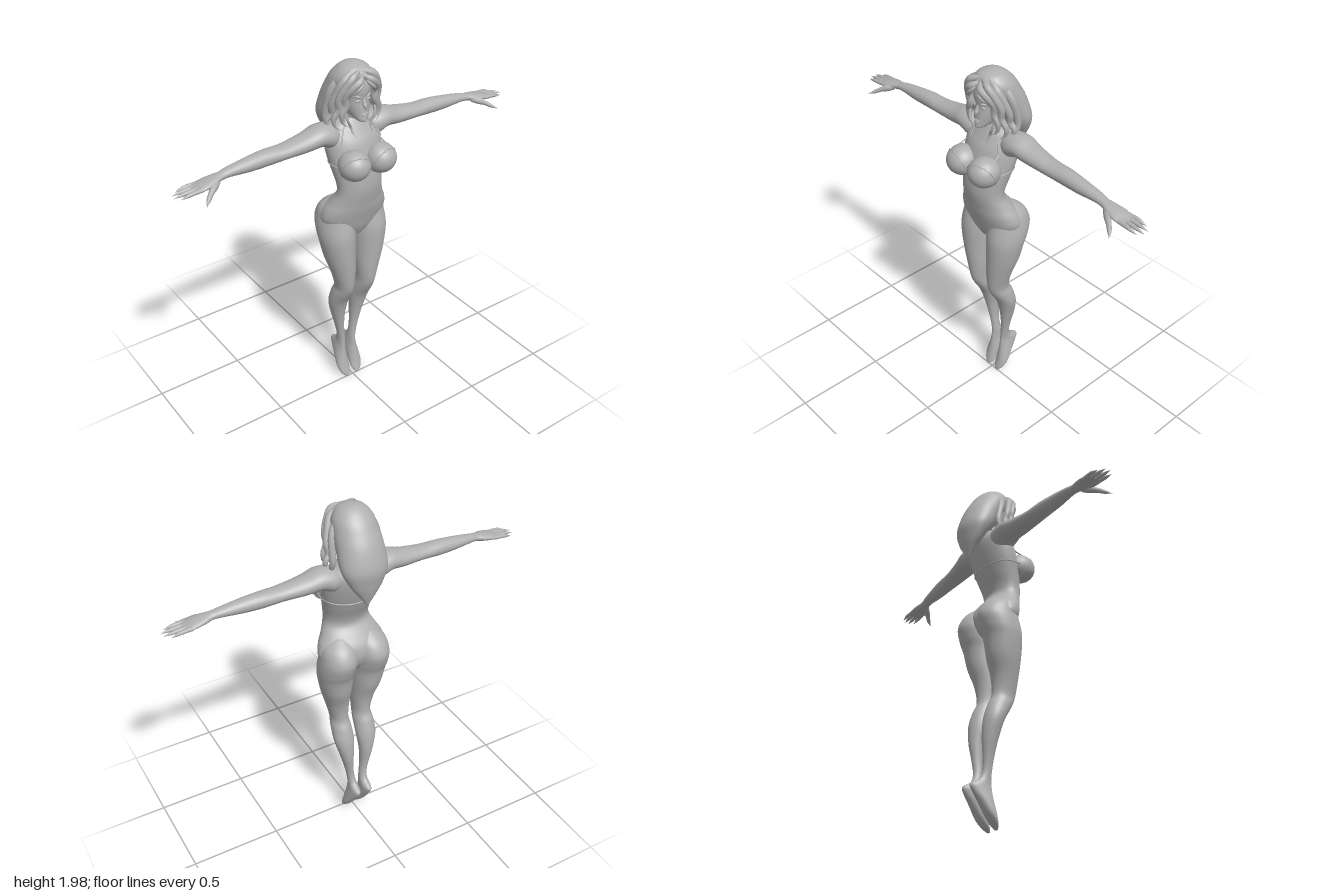
import * as THREE from 'three';

const grey = new THREE.MeshStandardMaterial({ color: 0xb0b0b0, side: THREE.DoubleSide });
grey.name = 'clay grey';

const V = (p) => new THREE.Vector3(...p);

// Smooth interpolation through rows of numbers
function sample(rows, u) {
  const n = rows.length - 1, i = Math.min(Math.floor(u * n), n - 1), f = u * n - i;
  const [p, q, r, s] = [Math.max(i - 1, 0), i, i + 1, Math.min(i + 2, n)].map((k) => rows[k]);
  return q.map((_, k) => {
    const m0 = (r[k] - p[k]) / 2, m1 = (s[k] - q[k]) / 2, d = r[k] - q[k];
    return q[k] + m0 * f + (3 * d - 2 * m0 - m1) * f * f + (m0 + m1 - 2 * d) * f * f * f;
  });
}

// Closed loft of ovals; each row is [t, aMin, aMax, bMin, bMax], t ascending
function loft(rows, place, sides = 40, detail = 6) {
  const rings = (rows.length - 1) * detail, pos = [], idx = [];
  for (let i = 0; i <= rings; i++) {
    const [t, a0, a1, b0, b1] = sample(rows, i / rings);
    for (let j = 0; j < sides; j++) {
      const w = (j / sides) * Math.PI * 2;
      pos.push(...place((a0 + a1) / 2 + ((a1 - a0) / 2) * Math.cos(w), t, (b0 + b1) / 2 + ((b1 - b0) / 2) * Math.sin(w)));
    }
  }
  for (let i = 0; i < rings; i++) for (let j = 0; j < sides; j++) {
    const a = i * sides + j, b = i * sides + (j + 1) % sides;
    idx.push(a, a + sides, b, b, a + sides, b + sides);
  }
  for (const end of [0, rings]) {
    const [t, a0, a1, b0, b1] = sample(rows, end / rings), c = pos.length / 3;
    pos.push(...place((a0 + a1) / 2, t, (b0 + b1) / 2));
    for (let j = 0; j < sides; j++) {
      const a = end * sides + j, b = end * sides + (j + 1) % sides;
      idx.push(...(end ? [c, b, a] : [c, a, b]));
    }
  }
  const g = new THREE.BufferGeometry();
  g.setAttribute('position', new THREE.Float32BufferAttribute(pos, 3));
  g.setIndex(idx);
  g.computeVertexNormals();
  return g;
}
const upright = (a, t, b) => [a, t, b];
const sideways = (a, t, b) => [t, b, a];

// Tube along points, its radius following a list of values
function strand(points, radii, sides = 10) {
  const curve = new THREE.CatmullRomCurve3(points.map(V)), n = points.length * 6;
  const g = new THREE.TubeGeometry(curve, n, 1, sides), p = g.attributes.position, v = new THREE.Vector3();
  for (let i = 0; i < p.count; i++) {
    const u = Math.floor(i / (sides + 1)) / n, c = curve.getPointAt(u);
    v.fromBufferAttribute(p, i).sub(c).multiplyScalar(sample(radii.map((r) => [r]), u)[0]).add(c);
    p.setXYZ(i, v.x, v.y, v.z);
  }
  g.computeVertexNormals();
  return g;
}

const ball = (r, at) => new THREE.SphereGeometry(1, 32, 22).scale(...r).translate(...at);

function mirrored(g) {
  const m = g.clone().scale(-1, 1, 1), k = m.index.array;
  for (let i = 0; i < k.length; i += 3) [k[i], k[i + 1]] = [k[i + 1], k[i]];
  return m;
}

export function createModel() {
  const model = new THREE.Group();
  model.name = 'figure';
  const add = (name, g) => {
    const mesh = new THREE.Mesh(g, grey);
    mesh.name = name;
    model.add(mesh);
    return mesh;
  };
  const pair = (name, g) => [add('left ' + name, g), add('right ' + name, mirrored(g))];

  // Torso: height, left and right, back and front
  const torso = add('torso', loft([
    [1.03, 0.05, -0.05, 0.06], [1.08, 0.14, -0.09, 0.085], [1.14, 0.19, -0.11, 0.103], [1.2, 0.183, -0.1, 0.12],
    [1.25, 0.155, -0.065, 0.13], [1.3, 0.132, -0.025, 0.14], [1.35, 0.128, -0.03, 0.145], [1.42, 0.14, -0.06, 0.14],
    [1.5, 0.155, -0.09, 0.125], [1.58, 0.16, -0.112, 0.1], [1.63, 0.15, -0.115, 0.07], [1.67, 0.11, -0.1, 0.045],
    [1.695, 0.05, -0.07, 0.03],
  ].map(([y, r, b, f]) => [y, -r, r, b, f]), upright, 56));

  // Legs with buttocks and pointed feet
  pair('leg', loft([
    [0.005, 0.025, 0.045, -0.01, 0.005], [0.03, 0.01, 0.068, -0.035, 0], [0.07, 0.005, 0.08, -0.07, -0.01],
    [0.13, 0.005, 0.075, -0.11, -0.022], [0.18, 0.008, 0.067, -0.145, -0.03], [0.215, 0.01, 0.062, -0.155, -0.033],
    [0.25, 0.014, 0.059, -0.105, -0.036], [0.3, 0.02, 0.064, -0.088, -0.035], [0.37, 0.025, 0.078, -0.092, -0.028],
    [0.46, 0.022, 0.102, -0.101, -0.013], [0.56, 0.012, 0.127, -0.095, 0.015], [0.64, 0.014, 0.126, -0.072, 0.06],
    [0.7, 0.02, 0.12, -0.047, 0.085], [0.8, 0.012, 0.145, -0.055, 0.096], [0.9, 0.007, 0.175, -0.088, 0.102],
    [1, 0.002, 0.195, -0.108, 0.104], [1.06, -0.002, 0.2, -0.132, 0.1], [1.13, -0.002, 0.194, -0.148, 0.085],
    [1.2, 0.005, 0.175, -0.115, 0.07], [1.25, 0.04, 0.12, -0.05, 0.04],
  ], upright));

  // Arms: distance out, back and front, bottom and top
  const arms = pair('arm', loft([
    [0.07, -0.07, 0.02, 1.58, 1.66], [0.13, -0.095, 0.055, 1.55, 1.682], [0.2, -0.092, 0.056, 1.575, 1.685],
    [0.28, -0.08, 0.047, 1.57, 1.663], [0.4, -0.065, 0.04, 1.57, 1.645], [0.5, -0.06, 0.033, 1.564, 1.645],
    [0.6, -0.05, 0.03, 1.565, 1.636], [0.7, -0.038, 0.024, 1.573, 1.622], [0.75, -0.03, 0.025, 1.572, 1.612],
    [0.79, -0.04, 0.04, 1.564, 1.606], [0.84, -0.047, 0.05, 1.56, 1.596], [0.88, -0.045, 0.047, 1.56, 1.583],
    [0.9, -0.035, 0.035, 1.566, 1.578],
  ], sideways, 32));

  // Fingers and thumb
  [[-0.036, 0.965], [-0.013, 0.993], [0.012, 0.998], [0.036, 0.975]].forEach(([z, tip], i) => {
    pair('finger ' + (i + 1), strand(
      [[0.86, 1.573, z], [0.92, 1.57, z * 1.08], [tip - 0.015, 1.563, z * 1.1], [tip, 1.56, z * 1.1]],
      [0.011, 0.0105, 0.009, 0.001]));
  });
  pair('thumb', strand([[0.78, 1.58, 0.02], [0.83, 1.562, 0.06], [0.865, 1.542, 0.09], [0.882, 1.533, 0.11], [0.886, 1.531, 0.12]],
    [0.016, 0.018, 0.013, 0.01, 0.001]));

  // Bust with halter cups and rims
  const bust = pair('breast', ball([0.081, 0.078, 0.085], [0.08, 1.49, 0.126]));
  const tilt = new THREE.Quaternion().setFromUnitVectors(V([0, 1, 0]), V([0.2, -0.4, 0.85]).normalize());
  const fit = (g) => g.applyQuaternion(tilt).scale(0.083, 0.08, 0.087).translate(0.08, 1.49, 0.126);
  pair('cup', fit(new THREE.SphereGeometry(1, 36, 16, 0, Math.PI * 2, 0, 1.3)));
  pair('cup rim', fit(new THREE.TorusGeometry(Math.sin(1.3), 0.035, 6, 48).rotateX(Math.PI / 2).translate(0, Math.cos(1.3), 0)));

  // Straps laid onto the body surface
  const ray = new THREE.Raycaster(), body = [torso, ...arms, ...bust];
  model.updateMatrixWorld(true);
  const onBody = (x, y, s, fallback) => {
    ray.set(V([x, y, s]), V([0, 0, -s]));
    const hit = ray.intersectObjects(body)[0];
    return [x, y, hit ? hit.point.z + s * 0.001 : fallback];
  };
  const thin = [0.004, 0.004];
  pair('neck strap', strand([[0.125, 1.54], [0.118, 1.57], [0.105, 1.61], [0.085, 1.65], [0.065, 1.675]]
    .map(([x, y]) => onBody(x, y, 1, 0.03)).concat([[0.045, 1.71, -0.03], [0, 1.72, -0.06]]), thin, 6));
  pair('back strap', strand([[0, 1.46], [0.04, 1.462], [0.08, 1.465], [0.12, 1.47], [0.135, 1.472]]
    .map(([x, y]) => onBody(x, y, -1, -0.03)).concat([[0.152, 1.475, 0.02], [0.15, 1.475, 0.08]]), thin, 6));

  // Neck and head
  add('neck', loft([[1.63, -0.055, 0.055, -0.09, 0.03], [1.67, -0.045, 0.045, -0.07, 0.03],
    [1.72, -0.04, 0.04, -0.05, 0.04], [1.79, -0.042, 0.042, -0.045, 0.045]], upright));
  add('head', loft([
    [1.694, 0.012, 0.07, 0.1], [1.703, 0.028, 0.04, 0.108], [1.73, 0.049, -0.02, 0.104], [1.77, 0.065, -0.06, 0.1],
    [1.81, 0.072, -0.08, 0.096], [1.86, 0.075, -0.085, 0.1], [1.91, 0.068, -0.08, 0.085], [1.95, 0.04, -0.04, 0.04],
  ].map(([y, r, b, f]) => [y, -r, r, b, f]), upright));

  // Face
  add('nose', strand([[0, 1.82, 0.092], [0, 1.79, 0.1], [0, 1.772, 0.108], [0, 1.764, 0.104]], [0.006, 0.009, 0.011, 0.004]));
  add('upper lip', ball([0.02, 0.005, 0.008], [0, 1.738, 0.101]));
  add('lower lip', ball([0.016, 0.006, 0.008], [0, 1.729, 0.102]));
  pair('eye', ball([0.015, 0.007, 0.008], [0.03, 1.808, 0.087]));
  pair('eyebrow', strand([[0.01, 1.818, 0.095], [0.032, 1.83, 0.092], [0.054, 1.832, 0.073]], [0.003, 0.006, 0.001]));

  // Hair: long mass tapering to a point behind the back
  add('hair', loft([
    [1.5, 0.006, -0.168, -0.155], [1.56, 0.05, -0.186, -0.13], [1.62, 0.092, -0.2, -0.095], [1.7, 0.125, -0.21, -0.04],
    [1.8, 0.122, -0.182, 0.025], [1.87, 0.114, -0.145, 0.07], [1.92, 0.102, -0.112, 0.09], [1.96, 0.07, -0.07, 0.07],
    [1.978, 0.03, -0.035, 0.025], [1.981, 0.006, -0.01, 0],
  ].map(([y, r, b, f]) => [y, -r, r, b, f]), upright, 48));

  // Wavy locks framing the face
  const locks = [
    [[0.005, 1.93, 0.08], [0.03, 1.915, 0.105], [0.065, 1.885, 0.095], [0.09, 1.84, 0.07], [0.085, 1.79, 0.065], [0.105, 1.745, 0.06], [0.1, 1.7, 0.06], [0.075, 1.675, 0.075]],
    [[0.01, 1.95, 0.065], [0.06, 1.93, 0.085], [0.095, 1.88, 0.07], [0.118, 1.82, 0.05], [0.112, 1.77, 0.045], [0.138, 1.72, 0.035], [0.13, 1.68, 0.04], [0.105, 1.66, 0.06]],
    [[0.04, 1.955, 0.05], [0.09, 1.91, 0.05], [0.115, 1.85, 0.03], [0.132, 1.79, 0.01], [0.125, 1.74, 0], [0.15, 1.7, -0.01], [0.135, 1.665, 0], [0.11, 1.64, 0.02]],
    [[0.08, 1.92, 0], [0.115, 1.85, -0.02], [0.128, 1.78, -0.04], [0.13, 1.72, -0.05], [0.13, 1.67, -0.04], [0.1, 1.63, -0.04]],
    [[0.01, 1.92, 0.09], [0.02, 1.9, 0.11], [0.045, 1.875, 0.112], [0.07, 1.85, 0.09], [0.078, 1.81, 0.075]],
  ];
  locks.forEach((pts, i) => pair('hair lock ' + (i + 1), strand(pts,
    i === 4 ? [0.006, 0.01, 0.008, 0.001] : [0.012, 0.019, 0.02, 0.018, 0.018, 0.011, 0.001])));
  pair('loose wisp', strand([[0.09, 1.76, 0.06], [0.08, 1.71, 0.075], [0.06, 1.67, 0.07], [0.055, 1.64, 0.085], [0.045, 1.625, 0.105]],
    [0.007, 0.007, 0.006, 0.001], 8));

  return model;
}
